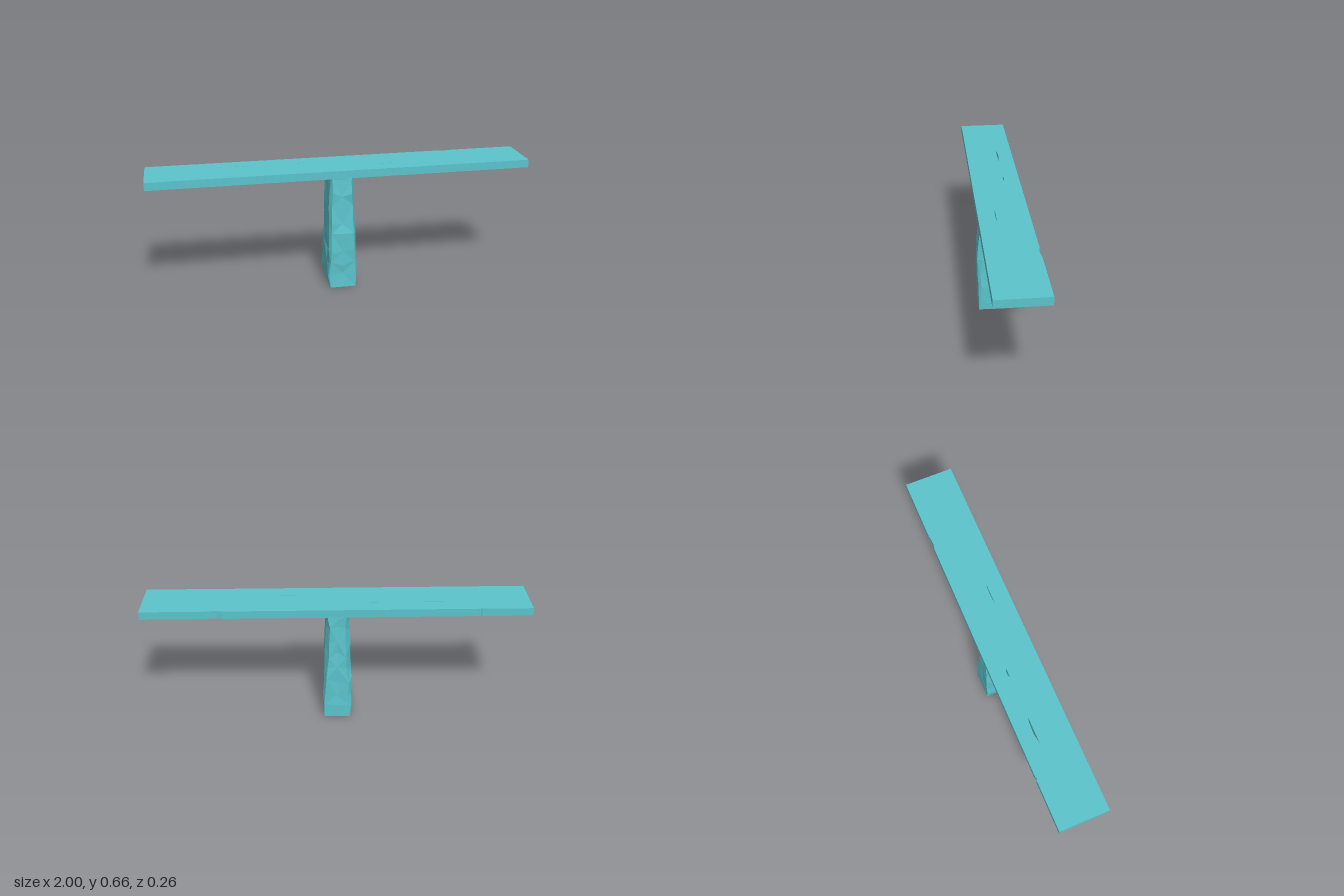
import * as THREE from 'three';

const material = new THREE.MeshStandardMaterial({ color: 0x5bc4cc, flatShading: true, roughness: 0.9 });

// Small seeded generator, returns -1..1
function seeded(seed) {
  let s = seed;
  return () => {
    s = (s * 16807) % 2147483647;
    return (s / 2147483647) * 2 - 1;
  };
}

// One plank: a plan outline with shallow chips [x0, x1, depth] along its long edges
function plank(name, zBack, zFront, backChips = [], frontChips = []) {
  const chip = (z, sign) => ([x0, x1, d]) => [
    [x0, z], [x0 + (x1 - x0) * 0.35, z + sign * d], [x0 + (x1 - x0) * 0.8, z + sign * d * 0.7], [x1, z],
  ];
  const back = backChips.flatMap(chip(zBack, 1));
  const front = frontChips.flatMap(chip(zFront, -1)).reverse();
  const outline = [[-1, zBack], ...back, [1, zBack], [1, zFront], ...front, [-1, zFront]];
  const shape = new THREE.Shape(outline.map(([x, z]) => new THREE.Vector2(x, z)));
  const geometry = new THREE.ExtrudeGeometry(shape, { depth: 0.042, bevelEnabled: false });
  geometry.rotateX(Math.PI / 2);
  const mesh = new THREE.Mesh(geometry, material);
  mesh.name = name;
  mesh.position.y = 0.66;
  return mesh;
}

// Rough-hewn post lofted from chamfered rectangles
function createPost() {
  // y, xMin, xMax, zMin, zMax, front chamfer, back chamfer
  const rings = [
    [0.0, -0.072, 0.07, -0.114, 0.116, 0.004, 0.004],
    [0.07, -0.083, 0.076, -0.115, 0.117, 0.01, 0.012],
    [0.14, -0.08, 0.076, -0.112, 0.12, 0.016, 0.022],
    [0.22, -0.079, 0.07, -0.111, 0.123, 0.018, 0.025],
    [0.31, -0.076, 0.068, -0.108, 0.121, 0.022, 0.035],
    [0.38, -0.074, 0.066, -0.106, 0.115, 0.024, 0.038],
    [0.45, -0.072, 0.062, -0.104, 0.106, 0.02, 0.038],
    [0.53, -0.071, 0.06, -0.102, 0.112, 0.024, 0.04],
    [0.59, -0.068, 0.057, -0.1, 0.103, 0.016, 0.025],
    [0.617, -0.062, 0.055, -0.098, 0.099, 0.008, 0.01],
  ];
  const sides = 14;
  const random = seeded(4127);
  const positions = [];
  const indices = [];
  rings.forEach(([y, x0, x1, z0, z1, f, b], i) => {
    const end = i === 0 || i === rings.length - 1;
    const xm = (x0 + x1) / 2;
    const zAt = (t) => z0 + (z1 - z0) * t;
    // Counter-clockwise seen from above, starting at the front left corner
    const ring = [
      [x1 - f * 0.6, z1], [x1, z1 - f], [x1, zAt(0.66)], [x1, zAt(0.36)], [x1, z0 + b], [x1 - b * 0.6, z0],
      [xm, z0],
      [x0 + b * 0.6, z0], [x0, z0 + b], [x0, zAt(0.36)], [x0, zAt(0.66)], [x0, z1 - f], [x0 + f * 0.6, z1],
      [xm, z1],
    ];
    ring.forEach(([x, z], j) => {
      const rough = end ? 0 : 1;
      const middle = [2, 3, 6, 9, 10, 13].includes(j);
      // Face centres are hollowed, corners only wobble
      const pull = rough * (middle ? 0.05 + 0.06 * random() : 0.025 + 0.025 * random());
      positions.push(
        xm + (x - xm) * (1 - pull) + rough * 0.002 * random(),
        y + rough * 0.02 * random(),
        z * (1 - pull * 0.5) + rough * (middle && z > z0 && z < z1 ? 0.012 : 0.002) * random(),
      );
    });
  });
  for (let i = 0; i < rings.length - 1; i++) {
    for (let j = 0; j < sides; j++) {
      const a = i * sides + j;
      const b = i * sides + ((j + 1) % sides);
      const c = a + sides;
      const d = b + sides;
      if ((i + j) % 2) indices.push(a, b, c, b, d, c);
      else indices.push(a, b, d, a, d, c);
    }
  }
  // Caps
  const top = (rings.length - 1) * sides;
  for (let j = 1; j < sides - 1; j++) {
    indices.push(0, j + 1, j, top, top + j, top + j + 1);
  }
  const indexed = new THREE.BufferGeometry();
  indexed.setAttribute('position', new THREE.Float32BufferAttribute(positions, 3));
  indexed.setIndex(indices);
  const geometry = indexed.toNonIndexed();
  geometry.computeVertexNormals();
  const mesh = new THREE.Mesh(geometry, material);
  mesh.name = 'post';
  return mesh;
}

export function createModel() {
  const model = new THREE.Group();
  model.name = 'plankOnPost';

  const top = new THREE.Group();
  top.name = 'plankTop';
  top.add(
    plank('backPlank', -0.129, -0.043, [[-0.74, -0.72, 0.004], [0.58, 0.66, 0.006]], [[-0.58, -0.44, 0.008], [-0.22, -0.17, 0.007]]),
    plank('middlePlank', -0.043, 0.042, [], [[0.17, 0.3, 0.004]]),
    plank('frontPlank', 0.042, 0.129),
  );

  model.add(createPost(), top);
  return model;
}
